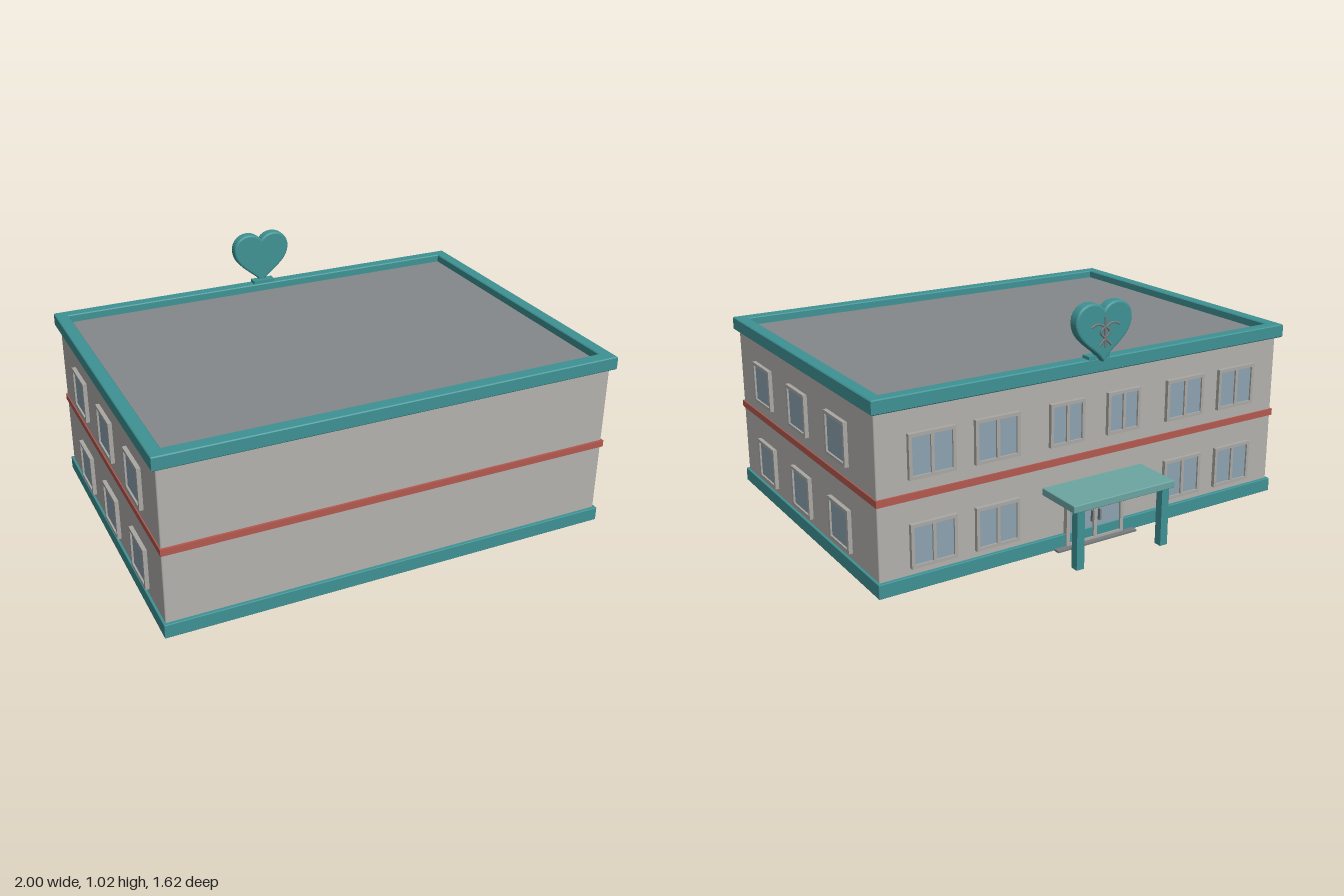
import * as THREE from 'three';
import { RoundedBoxGeometry } from 'three/addons/geometries/RoundedBoxGeometry.js';

const mat = (color) => new THREE.MeshStandardMaterial({ color });
const TEAL = mat(0x3f9294), CANOPY = mat(0x6ca5a2), WALL = mat(0xb3b1ad), RED = mat(0xb4594f);
const GLASS = mat(0x8da2b0), ROOF = mat(0x84888b), FRAME = mat(0xa9a8a4), METAL = mat(0x777c7e);

function add(parent, name, geometry, material, x = 0, y = 0, z = 0) {
  const mesh = new THREE.Mesh(geometry, material);
  mesh.name = name;
  mesh.position.set(x, y, z);
  parent.add(mesh);
  return mesh;
}

// Box given by its minimum and maximum corners
function block(parent, name, material, [x0, y0, z0], [x1, y1, z1], radius = 0) {
  const size = [x1 - x0, y1 - y0, z1 - z0];
  const geo = radius ? new RoundedBoxGeometry(...size, 2, radius) : new THREE.BoxGeometry(...size);
  return add(parent, name, geo, material, (x0 + x1) / 2, (y0 + y1) / 2, (z0 + z1) / 2);
}

function rect(path, x0, y0, x1, y1) {
  path.moveTo(x0, y0);
  path.lineTo(x1, y0);
  path.lineTo(x1, y1);
  path.lineTo(x0, y1);
  path.closePath();
  return path;
}

// Framed opening facing +z, centred on its origin, with equal panes side by side
function framedPanes(name, w, h, panes, depth, border) {
  const group = new THREE.Group();
  group.name = name;
  const shape = rect(new THREE.Shape(), -w / 2, -h / 2, w / 2, h / 2);
  const paneW = (w - border * (panes + 1)) / panes;
  for (let i = 0; i < panes; i++) {
    const x = -w / 2 + border + i * (paneW + border);
    shape.holes.push(rect(new THREE.Path(), x, -h / 2 + border, x + paneW, h / 2 - border));
  }
  add(group, 'frame', new THREE.ExtrudeGeometry(shape, { depth, bevelEnabled: false }), FRAME);
  block(group, 'glass', GLASS, [-w / 2 + border / 2, -h / 2 + border / 2, 0],
    [w / 2 - border / 2, h / 2 - border / 2, depth * 0.6]);
  return group;
}

function heartShape() {
  const s = new THREE.Shape();
  s.moveTo(0, 0.005);
  s.bezierCurveTo(0.025, 0.05, 0.125, 0.085, 0.125, 0.16);
  s.bezierCurveTo(0.125, 0.235, 0.025, 0.245, 0, 0.185);
  s.bezierCurveTo(-0.025, 0.245, -0.125, 0.235, -0.125, 0.16);
  s.bezierCurveTo(-0.125, 0.085, -0.025, 0.05, 0, 0.005);
  return s;
}

function buildShell(model) {
  const g = new THREE.Group();
  g.name = 'building';
  model.add(g);
  block(g, 'plinth', TEAL, [-0.99, 0, -0.605], [0.99, 0.06, 0.805], 0.003);
  block(g, 'walls', WALL, [-0.98, 0.05, -0.59], [0.98, 0.745, 0.79], 0.006);
  block(g, 'floorBand', RED, [-0.985, 0.366, -0.597], [0.985, 0.395, 0.8]);
  block(g, 'roof', ROOF, [-0.96, 0.74, -0.585], [0.96, 0.755, 0.77]);

  // Raised rim around the flat roof
  const rim = rect(new THREE.Shape(), -0.995, -0.807, 0.995, 0.612);
  rim.holes.push(rect(new THREE.Path(), -0.948, -0.757, 0.948, 0.567));
  const geo = new THREE.ExtrudeGeometry(rim, {
    depth: 0.05, bevelThickness: 0.004, bevelSize: 0.004, bevelSegments: 1,
  });
  geo.rotateX(-Math.PI / 2);
  add(g, 'parapet', geo, TEAL, 0, 0.735, 0);
}

function buildWindows(model) {
  const g = new THREE.Group();
  g.name = 'windows';
  model.add(g);
  for (const y of [0.18, 0.54]) {
    // Single panes on both ends
    for (const side of [-1, 1]) {
      for (const z of [0.505, 0.12, -0.265]) {
        const win = framedPanes('sideWindow', 0.187, 0.182, 1, 0.02, 0.014);
        win.position.set(side * 0.977, y, z);
        win.rotation.y = side * Math.PI / 2;
        g.add(win);
      }
      // Double panes at the back; the entrance replaces the lower middle pair
      for (const [x, w] of [[0.75, 0.2], [0.465, 0.2], [0.14, 0.165]]) {
        if (x < 0.2 && y < 0.3) continue;
        const win = framedPanes('backWindow', w, 0.182, 2, 0.02, 0.014);
        win.position.set(side * x, y, -0.587);
        win.rotation.y = Math.PI;
        g.add(win);
      }
    }
  }
}

function buildEntrance(model) {
  const g = new THREE.Group();
  g.name = 'entrance';
  model.add(g);
  block(g, 'canopy', CANOPY, [-0.25, 0.25, -0.81], [0.25, 0.282, -0.585], 0.004);
  for (const side of [-1, 1]) {
    block(g, 'canopyPost', TEAL, [side * 0.21 - 0.018, 0, -0.802], [side * 0.21 + 0.018, 0.255, -0.766]);
    block(g, 'doorHandle', METAL, [side * 0.018 - 0.004, 0.09, -0.622], [side * 0.018 + 0.004, 0.14, -0.608]);
  }
  const door = framedPanes('doubleDoor', 0.29, 0.235, 2, 0.025, 0.016);
  door.position.set(0, 0.12, -0.587);
  door.rotation.y = Math.PI;
  g.add(door);
  block(g, 'doorStep', METAL, [-0.2, 0, -0.635], [0.2, 0.008, -0.595]);
}

function buildHeartSign(model) {
  const g = new THREE.Group();
  g.name = 'heartSign';
  model.add(g);
  block(g, 'signFoot', TEAL, [-0.052, 0.775, -0.615], [0.052, 0.802, -0.572]);
  const geo = new THREE.ExtrudeGeometry(heartShape(), {
    depth: 0.03, bevelThickness: 0.01, bevelSize: 0.01, bevelSegments: 4, curveSegments: 20,
  });
  add(g, 'heart', geo, TEAL, 0, 0.79, -0.636);

  // Thin rod ornament on the back: stem, arms and two crossing strands
  const rod = (name, points) => {
    const curve = new THREE.CatmullRomCurve3(points.map(([x, y]) => new THREE.Vector3(x, y, 0)));
    add(g, name, new THREE.TubeGeometry(curve, 16, 0.005, 6), METAL, 0, 0.79, -0.649);
  };
  rod('ornamentStem', [[0, 0.05], [0, 0.175]]);
  for (const s of [-1, 1]) {
    rod('ornamentArm', [[0, 0.135], [s * 0.035, 0.15], [s * 0.07, 0.14]]);
    rod('ornamentStrand', [[s * 0.03, 0.06], [0, 0.09], [-s * 0.022, 0.115], [0, 0.14]]);
  }
}

export function createModel() {
  const model = new THREE.Group();
  model.name = 'clinicBuilding';
  buildShell(model);
  buildWindows(model);
  buildEntrance(model);
  buildHeartSign(model);
  return model;
}
